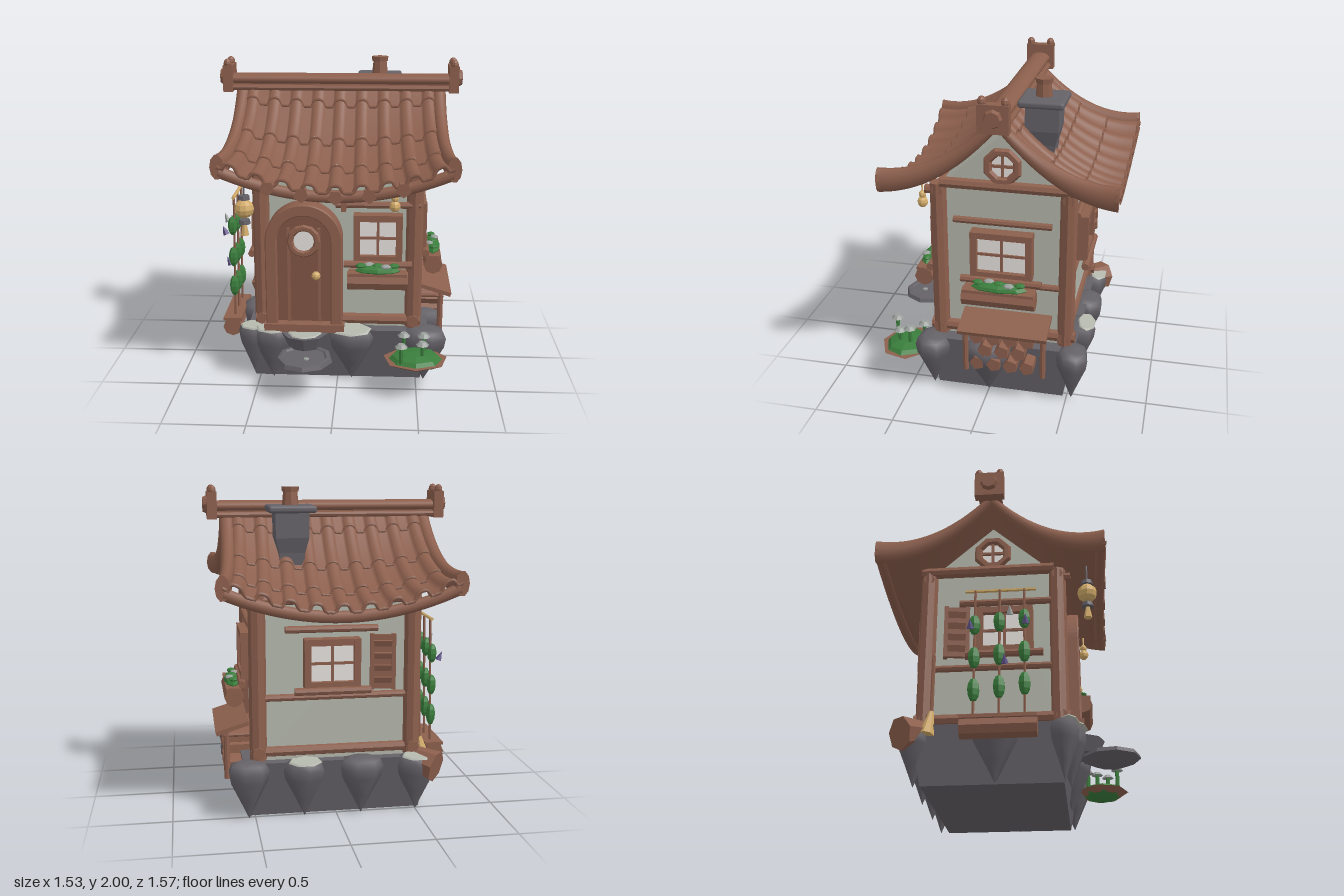
import * as THREE from 'three';
import { ParametricGeometry } from 'three/addons/geometries/ParametricGeometry.js';
import { RoundedBoxGeometry } from 'three/addons/geometries/RoundedBoxGeometry.js';

const V = (x, y, z) => new THREE.Vector3(x, y, z);

export function createModel() {
  const root = new THREE.Group();
  root.name = 'cottage';
  const mat = (name, color) => Object.assign(new THREE.MeshStandardMaterial({ color }), { name });
  const wood = mat('wood', 0x8c5f4d), darkWood = mat('darkWood', 0x7f5444), stone = mat('stone', 0x646167);
  const plaster = mat('plaster', 0xb3b6ab), glass = mat('glass', 0xe6e1dd), leaf = mat('leaf', 0x3a7d3c);
  const gold = mat('gold', 0xd2ab6a), purple = mat('purple', 0x5c4f86), pale = mat('paleGrey', 0x9aa09c);

  // helpers
  const add = (name, geo, m, x = 0, y = 0, z = 0, parent = root) => {
    const mesh = new THREE.Mesh(geo, m);
    mesh.name = name;
    mesh.position.set(x, y, z);
    parent.add(mesh);
    return mesh;
  };
  const box = (name, m, w, h, d, x, y, z, parent) => add(name, new THREE.BoxGeometry(w, h, d), m, x, y, z, parent);
  const facet = (geo) => { const g = geo.index ? geo.toNonIndexed() : geo; g.computeVertexNormals(); return g; };
  const log = (name, m, a, b, r, parent = root, sides = 8, r2 = r) => {
    const dir = b.clone().sub(a), c = a.clone().add(b).multiplyScalar(0.5);
    const mesh = add(name, facet(new THREE.CylinderGeometry(r2, r, dir.length(), sides)), m, c.x, c.y, c.z, parent);
    mesh.quaternion.setFromUnitVectors(V(0, 1, 0), dir.normalize());
    return mesh;
  };
  const blob = (name, m, x, y, z, sx, sy, sz, parent, seg = 8) => {
    const b = add(name, facet(new THREE.SphereGeometry(1, seg, 6)), m, x, y, z, parent);
    b.scale.set(sx, sy, sz);
    return b;
  };
  const lathe = (points, sides) => new THREE.LatheGeometry(points.map(p => new THREE.Vector2(...p)), sides);

  // foundation: block widening upward, ringed by pointed boulders
  const CZ = -0.08, HX = 0.475, ZF = 0.32, ZB = -0.475;
  const base = new THREE.BoxGeometry(1.14, 0.35, 0.94), bp = base.attributes.position;
  for (let i = 0; i < bp.count; i++) if (bp.getY(i) < 0) bp.setXYZ(i, bp.getX(i) * 0.93, bp.getY(i), bp.getZ(i) * 0.86);
  add('foundation', facet(base), stone, 0, 0.176, -0.07);
  const rocks = [[-0.53, 0.34, 0.11], [-0.41, 0.37, 0.13], [0.09, 0.36, 0.16], [0.55, 0.36, 0.145], [0.55, 0, 0.16],
    [0.54, -0.53, 0.13], [0.2, -0.53, 0.13], [-0.15, -0.53, 0.14], [-0.5, -0.52, 0.13], [-0.54, -0.05, 0.15]];
  rocks.forEach(([x, z, r], i) => {
    const g = new THREE.Group();
    g.name = 'boulder';
    g.position.set(x, 0.004, z);
    if (Math.abs(z) < 0.1) g.scale.x = 0.85; else g.scale.z = 0.78;
    root.add(g);
    const rock = add('boulderBody', lathe([[0, 0], [0.45 * r, 0.12], [0.92 * r, 0.24], [r, 0.3], [0.85 * r, 0.345], [0.5 * r, 0.362], [0, 0.365]], 7), stone, 0, 0, 0, g);
    rock.rotation.y = i * 1.3;
    if ([0, 1, 2, 6, 8].includes(i)) {
      const top = add('boulderTop', new THREE.CylinderGeometry(r * 0.52, r * 0.58, 0.009, 7), plaster, 0, 0.362, Math.sign(z) * r * 0.45, g);
      top.rotation.x = Math.sign(z) * 0.18;
      top.scale.x = 1.4;
    }
  });
  add('upperStep', facet(new THREE.CylinderGeometry(0.15, 0.11, 0.09, 9)), stone, -0.2, 0.305, 0.42);
  add('upperStepTop', new THREE.CylinderGeometry(0.1, 0.11, 0.009, 9), plaster, -0.2, 0.353, 0.44);
  add('stepStone', facet(lathe([[0, 0.19], [0.08, 0.2], [0.175, 0.24], [0.165, 0.265], [0.14, 0.268], [0.13, 0.258], [0, 0.258]], 9)), stone, -0.19, 0, 0.605);
  add('stepFleck', new THREE.CylinderGeometry(0.018, 0.018, 0.006, 6), pale, -0.175, 0.262, 0.64);

  // walls with pentagonal gables
  const wallShape = new THREE.Shape([[-0.395, 0.34], [0.395, 0.34], [0.395, 1.36], [0, 1.71], [-0.395, 1.36]].map(p => new THREE.Vector2(...p)));
  const walls = add('walls', new THREE.ExtrudeGeometry(wallShape, { depth: 2 * HX, bevelEnabled: false }), plaster, -HX, 0, CZ);
  walls.rotation.y = Math.PI / 2;

  // timber frame
  for (const x of [-HX, HX]) {
    const o = Math.sign(x) * 0.02;
    for (const z of [ZF, ZB]) log('cornerPost', wood, V(x, 0.36, z), V(x, 1.38, z), 0.052);
    log('sillBeam', wood, V(x, 0.41, ZF + 0.06), V(x, 0.41, ZB - 0.06), 0.038);
    log('gableBeam', wood, V(x + o, 1.39, 0.3), V(x + o, 1.39, -0.52), 0.035);
    log('sideRail', wood, V(x, 0.74, x > 0 ? -0.1 : ZF), V(x, 0.74, ZB), 0.022);
    log('ridgeSupport', wood, V(x, 1.33, 0.4), V(x, 1.33, 0.3), 0.03);
  }
  for (const z of [ZF, ZB]) {
    log('sillBeam', wood, V(-0.52, 0.405, z + 0.01), V(0.52, 0.405, z + 0.01), 0.036);
    log('topBeam', wood, V(-0.52, 1.34, z), V(0.52, 1.34, z), 0.035);
  }
  log('backRail', wood, V(-HX, 0.74, ZB), V(HX, 0.74, ZB), 0.022);
  box('eaveBracket', wood, 0.03, 0.09, 0.1, 0.04, 1.18, 0.37);

  // windows, built facing +z then turned onto each wall
  const makeWindow = (name, w, x, z, turn, planter, shutterX) => {
    const g = new THREE.Group(), h = 0.3, f = 0.04;
    g.name = name;
    g.position.set(x, 0.955, z);
    g.rotation.y = turn;
    root.add(g);
    box('pane', glass, w - f, h - f, 0.009, 0, 0, 0.045, g);
    for (const s of [-1, 1]) {
      box('frameSide', wood, f, h, 0.08, s * (w - f) / 2, 0, 0.045, g);
      box('frameRail', wood, w, f, 0.076, 0, s * (h - f) / 2, 0.045, g);
    }
    box('mullion', wood, 0.016, h - f, 0.024, 0, 0, 0.05, g);
    box('mullion', wood, w - f, 0.016, 0.022, 0, 0, 0.05, g);
    log('windowSill', wood, V(-w / 2 - 0.06, -0.163, 0.08), V(w / 2 + 0.06, -0.163, 0.08), 0.024, g);
    log('windowHeader', wood, V(-w / 2 - 0.11, 0.205, 0.03), V(w / 2 + 0.11, 0.205, 0.03), 0.022, g);
    if (planter) {
      log('planter', wood, V(-w / 2 - 0.035, -0.25, 0.13), V(w / 2 + 0.035, -0.25, 0.13), 0.06, g);
      box('planterRim', wood, w + 0.06, 0.018, 0.1, 0, -0.2, 0.13, g);
      blob('foliage', leaf, 0, -0.185, 0.13, w * 0.46, 0.036, 0.054, g);
      for (let i = -2; i <= 2; i++) blob('bloom', i % 2 ? pale : leaf, i * w * 0.17, -0.153, 0.13 + (i % 2) * 0.02, 0.034, 0.014, 0.028, g, 6);
    }
    if (shutterX) {
      const s = new THREE.Group();
      s.name = 'shutter';
      s.position.set(shutterX, 0, 0.05);
      s.rotation.y = -Math.sign(shutterX) * 0.15;
      g.add(s);
      box('shutterPanel', wood, 0.14, 0.33, 0.024, 0, 0, 0, s);
      for (const k of [-1, 1]) box('shutterStile', wood, 0.025, 0.34, 0.04, k * 0.065, 0, 0, s);
      for (let i = -1.5; i <= 1.5; i++) box('slat', wood, 0.11, 0.04, 0.014, 0, i * 0.075, 0.012, s).rotation.x = 0.35;
    }
  };
  makeWindow('frontWindow', 0.3, 0.25, 0.315, 0, true, 0);
  makeWindow('leftWindow', 0.38, HX, CZ, Math.PI / 2, true, 0);
  makeWindow('backWindow', 0.34, 0.03, ZB, Math.PI, false, 0.31);
  makeWindow('rightWindow', 0.34, -HX, 0.0, -Math.PI / 2, false, -0.29);

  // octagonal gable windows
  for (const s of [-1, 1]) {
    const g = new THREE.Group();
    g.name = 'gableWindow';
    g.position.set(s * HX, 1.515, CZ);
    g.rotation.y = s * Math.PI / 2;
    root.add(g);
    add('pane', new THREE.CircleGeometry(0.085, 8), glass, 0, 0, 0.012, g);
    add('octagonFrame', facet(new THREE.TorusGeometry(0.095, 0.027, 6, 8)), wood, 0, 0, 0.02, g).rotation.z = Math.PI / 8;
    box('mullion', wood, 0.016, 0.16, 0.02, 0, 0, 0.018, g);
    box('mullion', wood, 0.16, 0.016, 0.018, 0, 0, 0.018, g);
  }

  // arched door
  const door = new THREE.Group();
  door.name = 'door';
  door.position.set(-0.205, 0.38, 0.3);
  root.add(door);
  const arch = (Type, hw, y0) => new Type().moveTo(-hw, y0).lineTo(hw, y0).lineTo(hw, 0.56).absarc(0, 0.56, hw, 0, Math.PI, false).lineTo(-hw, y0);
  const frameShape = arch(THREE.Shape, 0.232, 0);
  frameShape.holes.push(arch(THREE.Path, 0.172, 0.02));
  add('doorFrame', new THREE.ExtrudeGeometry(frameShape, { depth: 0.13, bevelEnabled: true, bevelSize: 0.006, bevelThickness: 0.008, bevelSegments: 1, curveSegments: 14 }), wood, 0, 0, 0, door);
  add('doorLeaf', new THREE.ExtrudeGeometry(arch(THREE.Shape, 0.178, 0.01), { depth: 0.09, bevelEnabled: false, curveSegments: 14 }), darkWood, 0, 0, 0, door);
  for (const s of [-1, 1]) box('doorBatten', wood, 0.018, 0.62, 0.016, s * 0.095, 0.33, 0.095, door);
  add('doorPane', new THREE.CircleGeometry(0.085, 16), glass, 0, 0.56, 0.106, door);
  add('doorPaneRing', facet(new THREE.TorusGeometry(0.085, 0.021, 6, 12)), wood, 0, 0.56, 0.106, door);
  blob('doorKnob', gold, 0.075, 0.34, 0.12, 0.028, 0.028, 0.028, door);
  box('threshold', wood, 0.5, 0.05, 0.07, 0, 0.0, 0.12, door);

  // roof: sagging surface, s picks the front or back slope, u runs across, t runs from ridge to eave
  const N = 9;
  const roofPoint = (s, u, t, lift = 0) => V(u * (0.62 + 0.065 * t * t), 1.82 - 0.79 * t + 0.415 * t * t - 0.155 * t * (1 - u * u) + lift, CZ + s * (0.675 + 0.022 * u * u) * t);
  const rib = (u) => {
    const p = (((u + 1) / 2 * N) % 1 - 0.5) / 0.33;
    return Math.abs(p) < 1 ? 0.048 * Math.sqrt(1 - p * p) : 0;
  };
  const courses = [0, 0.14, 0.43, 0.7, 1];
  for (const s of [1, -1]) {
    for (let k = 0; k < 4; k++) {
      const t0 = courses[k], t1 = courses[k + 1];
      add('tileCourse', new ParametricGeometry((a, v, p) => {
        const u = -s * (2 * a - 1);
        p.copy(roofPoint(s, u, t0 + (t1 - t0) * v, rib(u) + 0.002 + 0.012 * v));
      }, 108, 5), wood);
      const pts = Array.from({ length: 55 }, (_, i) => {
        const u = i / 27 - 1;
        return roofPoint(s, u, t1, rib(u) * 0.95 + 0.008);
      });
      add('courseRoll', new THREE.TubeGeometry(new THREE.CatmullRomCurve3(pts), 108, k === 3 ? 0.012 : 0.009, 5), wood);
    }
    add('roofUnderside', new ParametricGeometry((a, v, p) => p.copy(roofPoint(s, s * (2 * a - 1), v, -0.05)), 16, 12), wood);
    const eave = Array.from({ length: 17 }, (_, i) => roofPoint(s, i / 8 - 1, 0.96, -0.028));
    add('eaveRoll', new THREE.TubeGeometry(new THREE.CatmullRomCurve3(eave), 32, 0.036, 8), wood);
    for (const e of [-1, 1]) {
      add('bargeboard', new ParametricGeometry((a, v, p) => {
        const f = s * a * Math.PI * 2, r = v > 0.99 ? 0 : 1, t = Math.min(1, v / 0.958);
        p.copy(roofPoint(s, e, t, 0.005));
        p.x += r * 0.042 * Math.cos(f);
        p.y += r * (0.045 + 0.03 * t) * Math.sin(f);
      }, 10, 24), wood);
    }
  }
  // pentagonal end tiles along the front eave
  for (let i = -2; i <= 2; i++) {
    const c = roofPoint(1, i * 0.29, 1, -0.018);
    log('tileEnd', wood, c.clone().add(V(0, 0, -0.04)), c.clone().add(V(0, 0, 0.014)), 0.045, root, 5);
  }

  // ridge beam with ornamental ends
  box('ridgeBase', wood, 1.38, 0.035, 0.12, 0, 1.82, CZ);
  box('ridgeBody', wood, 1.36, 0.05, 0.09, 0, 1.85, CZ);
  for (const k of [-1, 1]) log('ridgeSideRoll', wood, V(-0.69, 1.818, CZ + k * 0.056), V(0.69, 1.818, CZ + k * 0.056), 0.018);
  const ridgeCap = add('ridgeCap', new THREE.CylinderGeometry(1, 1, 1.38, 16), wood, 0, 1.868, CZ);
  ridgeCap.rotation.z = Math.PI / 2;
  ridgeCap.scale.set(0.036, 1, 0.066);
  for (const s of [-1, 1]) {
    box('ridgeEnd', wood, 0.06, 0.165, 0.18, s * 0.71, 1.875, CZ);
    log('ridgeBoss', wood, V(s * 0.73, 1.88, CZ), V(s * 0.765, 1.88, CZ), 0.06, root, 8, 0.045);
    for (const k of [-1, 1]) blob('ridgeKnob', wood, s * 0.71, 1.967, CZ + k * 0.066, 0.026, 0.033, 0.026);
  }

  // chimney
  const stack = add('chimneyStack', facet(lathe([[0.1, 1.5], [0.11, 1.6], [0.142, 1.69], [0.142, 1.85]], 4)), stone, 0.245, 0, -0.28);
  stack.rotation.y = Math.PI / 4;
  add('chimneyCap', new RoundedBoxGeometry(0.29, 0.045, 0.275, 2, 0.018), stone, 0.245, 1.86, -0.278);
  add('chimneyPot', facet(new THREE.CylinderGeometry(0.042, 0.052, 0.1, 8)), wood, 0.245, 1.92, -0.275);
  add('chimneyPotRim', facet(new THREE.CylinderGeometry(0.054, 0.05, 0.03, 8)), wood, 0.245, 1.975, -0.275);

  // hanging lanterns
  log('lanternCord', stone, V(-0.55, 1.2, 0.5), V(-0.55, 1.38, 0.5), 0.006);
  blob('lantern', gold, -0.55, 1.17, 0.5, 0.06, 0.058, 0.06, root, 10);
  for (const [y, r] of [[1.24, 0.036], [1.09, 0.036]]) add('lanternCap', facet(new THREE.CylinderGeometry(r * 0.9, r, 0.026, 8)), stone, -0.55, y, 0.5);
  add('lanternTassel', facet(new THREE.CylinderGeometry(0.012, 0.026, 0.07, 6)), gold, -0.55, 1.04, 0.5);
  log('bellCord', gold, V(0.35, 1.22, 0.46), V(0.35, 1.33, 0.46), 0.006);
  blob('bell', gold, 0.35, 1.235, 0.46, 0.024, 0.026, 0.024);
  blob('bell', gold, 0.35, 1.185, 0.46, 0.034, 0.036, 0.034);

  // log store against the side wall
  const shelter = box('logStoreRoof', wood, 0.21, 0.026, 0.55, 0.625, 0.535, -0.12);
  shelter.rotation.z = -0.3;
  for (const z of [0.12, -0.365]) {
    log('logStorePost', wood, V(0.66, 0.21, z), V(0.66, 0.53, z), 0.018);
    log('logStoreBrace', wood, V(0.52, 0.49, z), V(0.68, 0.49, z), 0.016);
  }
  for (const [y, z0, n] of [[0.45, 0.045, 4], [0.36, -0.005, 3], [0.265, 0.045, 4]])
    for (let i = 0; i < n; i++) log('firewood', wood, V(0.5, y, z0 - i * 0.104), V(0.675, y, z0 - i * 0.104), 0.047, root, 5);

  // mushroom bed
  add('bedDish', facet(new THREE.CylinderGeometry(0.2, 0.14, 0.03, 7)), wood, 0.49, 0.222, 0.55).scale.z = 0.85;
  blob('bedMoss', leaf, 0.49, 0.235, 0.55, 0.165, 0.05, 0.14);
  for (const [x, z, y] of [[0.4, 0.65, 0.36], [0.53, 0.59, 0.35], [0.54, 0.52, 0.375], [0.42, 0.46, 0.35]]) {
    log('mushroomStem', leaf, V(x, 0.25, z), V(x, y, z), 0.013, root, 6);
    add('mushroomCap', facet(new THREE.CylinderGeometry(0.02, 0.04, 0.022, 7)), pale, x, y + 0.008, z);
  }

  // climbing plants in a trough
  log('trough', wood, V(-0.7, 0.27, -0.23), V(-0.7, 0.27, 0.2), 0.062);
  box('troughRim', wood, 0.12, 0.02, 0.43, -0.7, 0.322, -0.015);
  log('trellisRail', gold, V(-0.668, 1.15, -0.22), V(-0.668, 1.15, 0.2), 0.011, root, 6);
  [-0.16, -0.015, 0.13].forEach((z, i) => {
    log('trellisPole', wood, V(-0.69, 0.3, z), V(-0.675, 1.15, z), 0.008, root, 5);
    [0.52, 0.72, 0.93].forEach((y, j) => blob('vineLeaves', leaf, -0.69, y + (i - 1) * 0.015, z, 0.031, 0.072 - j * 0.004, 0.038, root, 6));
  });
  for (const [y, z, m] of [[0.67, 0.02, purple], [0.9, -0.18, purple], [0.92, 0.14, purple], [0.98, 0.05, pale]])
    add('vineFlower', facet(new THREE.ConeGeometry(0.024, 0.06, 5)), m, -0.74, y, z).rotation.z = 0.4;

  // broom and bucket at the back corner
  log('broomHandle', wood, V(-0.545, 0.4, -0.42), V(-0.535, 0.8, -0.42), 0.011, root, 6);
  log('broomBrush', gold, V(-0.57, 0.29, -0.44), V(-0.545, 0.44, -0.42), 0.045, root, 7, 0.014);
  log('bucket', wood, V(-0.61, 0.29, -0.585), V(-0.5, 0.32, -0.49), 0.1, root, 7, 0.08);
  return root;
}
